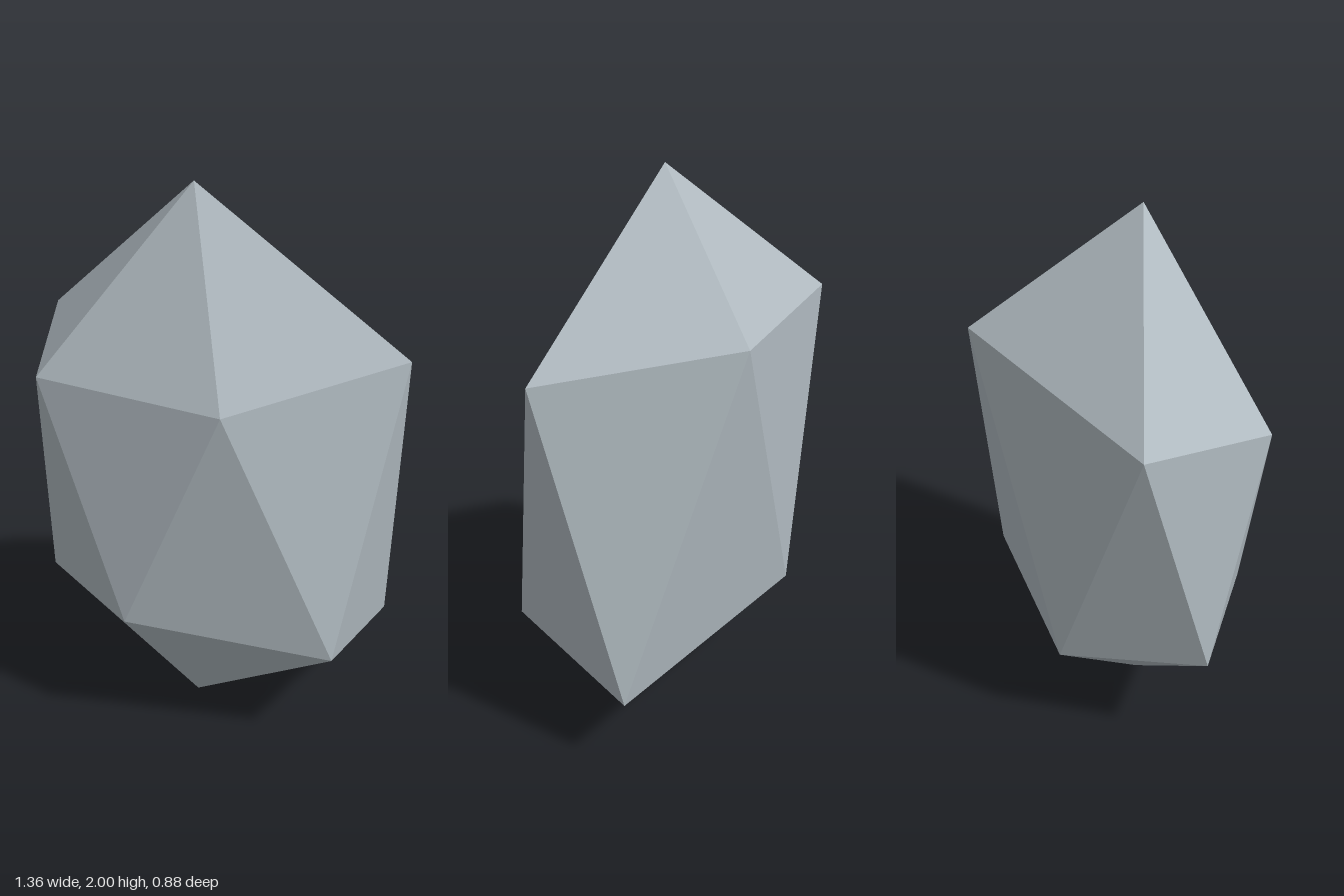
import * as THREE from 'three';

export function createModel() {
  const stone = new THREE.MeshStandardMaterial({ color: 0xb0bac0 });
  stone.name = 'blue grey stone';

  // Two tips and two staggered rings of five corners, both going right, back, left, front
  const top = [-0.065, 2, 0.087];
  const bottom = [-0.065, 0, 0.087];
  const upper = [
    [0.68, 1.44, 0.087], [0.205, 1.535, -0.44], [-0.68, 1.45, -0.2],
    [-0.565, 1.35, 0.318], [0.115, 1.32, 0.44],
  ];
  const lower = [
    [0.495, 0.395, 0.345], [0.608, 0.293, -0.223], [-0.28, 0.4, -0.33],
    [-0.635, 0.485, 0.087], [-0.24, 0.49, 0.427],
  ];

  // Crown, zigzag belt and base facets
  const points = [];
  for (let i = 0; i < 5; i++) {
    const j = (i + 1) % 5;
    points.push(
      top, upper[i], upper[j],
      upper[i], lower[i], lower[j],
      upper[i], lower[j], upper[j],
      bottom, lower[j], lower[i],
    );
  }
  const geometry = new THREE.BufferGeometry();
  geometry.setAttribute('position', new THREE.Float32BufferAttribute(points.flat(), 3));
  geometry.computeVertexNormals(); // unshared corners give flat facets

  const rock = new THREE.Mesh(geometry, stone);
  rock.name = 'rock';
  const group = new THREE.Group();
  group.name = 'facetedRock';
  group.add(rock);
  return group;
}
